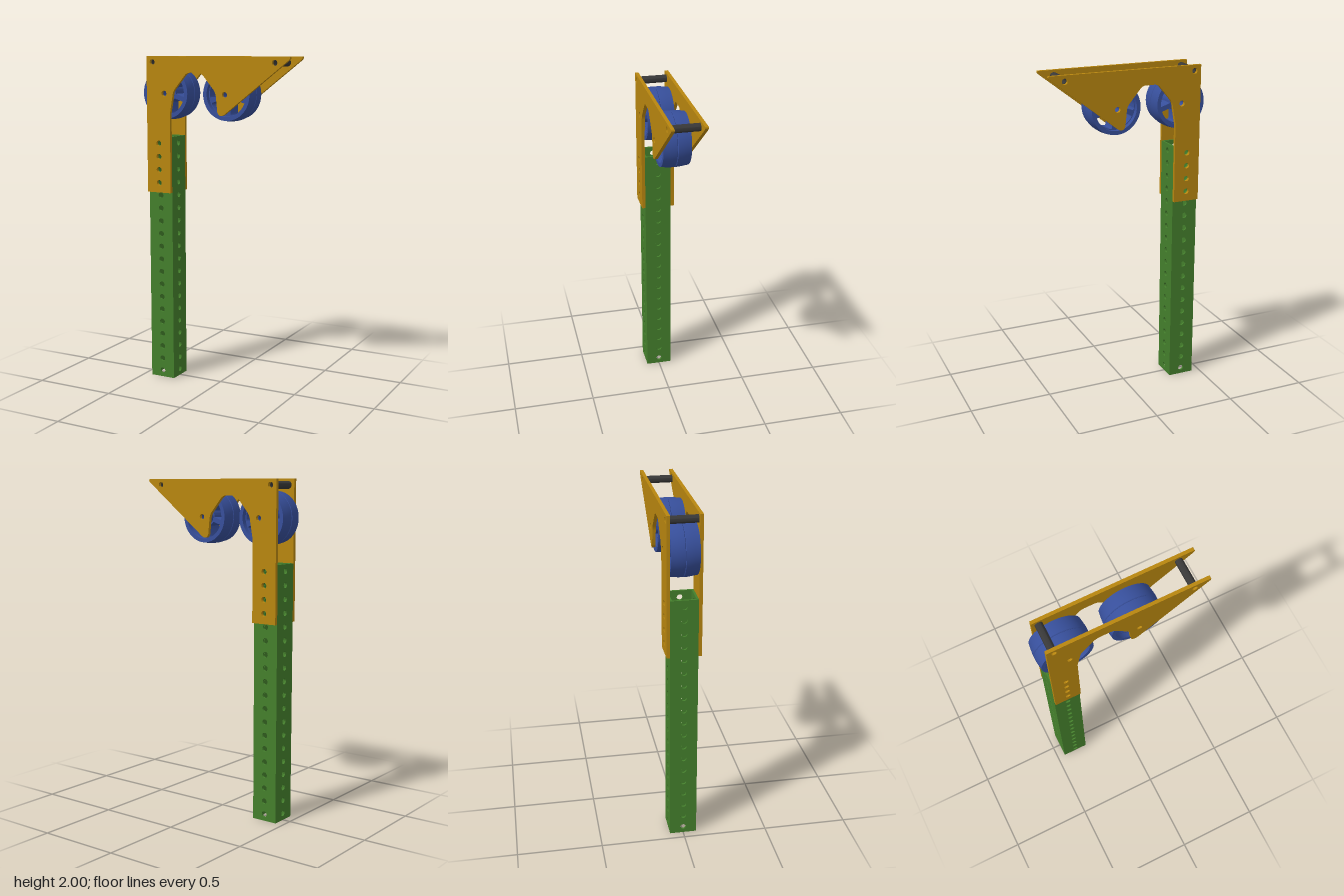
import * as THREE from 'three';
import { toCreasedNormals } from 'three/addons/utils/BufferGeometryUtils.js';

const material = (color) => new THREE.MeshStandardMaterial({ color });
const gold = material(0xb8860f);
const green = material(0x447f2c);
const blue = material(0x374f9b);
const dark = material(0x383838);

const HOLE = 0.017;
const AXLE_Y = 1.78;
const POST_X = -0.37;
const ROD_Y = 1.965;

function addMesh(parent, name, geometry, mat) {
  const mesh = new THREE.Mesh(geometry, mat);
  mesh.name = name;
  parent.add(mesh);
  return mesh;
}

function punch(shape, x, y, r = HOLE) {
  shape.holes.push(new THREE.Path().absarc(x, y, r, 0, Math.PI * 2, true));
}

// Extrusion centred on z = 0, smooth around curves and sharp at edges
function extrude(shape, depth, curveSegments = 12) {
  const g = new THREE.ExtrudeGeometry(shape, { depth, bevelEnabled: false, curveSegments });
  g.translate(0, 0, -depth / 2);
  return toCreasedNormals(g, 0.6);
}

// Revolved closed section of [radius, z] points, turned to lie along z
function revolve(points) {
  const g = new THREE.LatheGeometry(points.map(([r, z]) => new THREE.Vector2(r, z)), 64);
  g.rotateX(Math.PI / 2);
  return toCreasedNormals(g, 0.4);
}

// Hollow sleeve along z
function sleeve(outer, inner, length) {
  const h = length / 2;
  return revolve([[inner, -h], [outer, -h], [outer, h], [inner, h], [inner, -h]]);
}

// Square box-section post with a row of holes in every wall
function createPost() {
  const post = new THREE.Group();
  post.name = 'post';
  const size = 0.16, wall = 0.012, height = 1.52;
  for (let i = 0; i < 4; i++) {
    const w = (i % 2 ? size - 2 * wall : size) / 2;
    const shape = new THREE.Shape();
    shape.moveTo(-w, 0).lineTo(w, 0).lineTo(w, height).lineTo(-w, height).closePath();
    for (let n = 0; n < 19; n++) punch(shape, 0, 0.04 + n * 0.08);
    const g = extrude(shape, wall);
    g.translate(0, 0, (size - wall) / 2);
    g.rotateY(i * Math.PI / 2);
    addMesh(post, 'postWall', g, green);
  }
  post.position.x = POST_X;
  return post;
}

// Side plate: leg, arched cutout and pointed arm
function createPlateGeometry() {
  const s = new THREE.Shape();
  s.moveTo(-0.45, 1.18);
  s.lineTo(-0.29, 1.18);
  s.lineTo(-0.29, 1.66);
  s.lineTo(-0.272, 1.76);
  s.quadraticCurveTo(-0.27, 1.79, -0.255, 1.808);
  s.lineTo(-0.19, 1.885);
  s.quadraticCurveTo(-0.175, 1.905, -0.15, 1.905);
  s.lineTo(-0.1, 1.905);
  s.quadraticCurveTo(-0.075, 1.905, -0.06, 1.885);
  s.lineTo(0.005, 1.808);
  s.quadraticCurveTo(0.02, 1.79, 0.022, 1.76);
  s.lineTo(0.03, 1.68);
  s.quadraticCurveTo(0.042, 1.645, 0.075, 1.665);
  s.lineTo(0.48, 1.98);
  s.quadraticCurveTo(0.492, 1.992, 0.484, 2);
  s.lineTo(-0.45, 2);
  s.closePath();
  for (let n = 0; n < 4; n++) punch(s, POST_X, 1.24 + n * 0.08);
  for (const x of [-0.33, 0.077]) punch(s, x, AXLE_Y);
  for (const x of [-0.41, 0.393]) punch(s, x, ROD_Y);
  punch(s, POST_X, 1.2 - 0.04 + 0.4 - 0.08);
  s.holes.pop();
  return extrude(s, 0.02);
}

// Spoked wheel with a crowned tread split by a centre groove
function createWheel() {
  const wheel = new THREE.Group();
  wheel.name = 'wheel';
  addMesh(wheel, 'rim', revolve([
    [0.128, -0.08], [0.151, -0.08], [0.155, -0.05], [0.158, -0.025], [0.158, -0.003],
    [0.154, 0], [0.158, 0.003], [0.158, 0.025], [0.155, 0.05], [0.151, 0.08],
    [0.128, 0.08], [0.128, -0.08],
  ]), blue);
  addMesh(wheel, 'hub', sleeve(0.046, HOLE, 0.16), blue);

  // Spoked disc with rounded windows
  const disc = new THREE.Shape().absarc(0, 0, 0.13, 0, Math.PI * 2, false);
  punch(disc, 0, 0, 0.04);
  const count = 5, inner = 0.055, outer = 0.123;
  for (let i = 0; i < count; i++) {
    const mid = -Math.PI / 2 + (i + 0.5) * 2 * Math.PI / count;
    const a = 0.5, b = 0.36;
    const at = (r, t) => [r * Math.cos(mid + t), r * Math.sin(mid + t)];
    const win = new THREE.Path();
    win.moveTo(...at(outer, -a + 0.08));
    win.absarc(0, 0, outer, mid - a + 0.08, mid + a - 0.08, false);
    win.quadraticCurveTo(...at(outer, a), ...at(outer - 0.012, a));
    win.lineTo(...at(inner, b));
    win.absarc(0, 0, inner, mid + b, mid - b, true);
    win.lineTo(...at(outer - 0.012, -a));
    win.quadraticCurveTo(...at(outer, -a), ...at(outer, -a + 0.08));
    disc.holes.push(win);
  }
  addMesh(wheel, 'spokes', extrude(disc, 0.1, 24), blue);
  return wheel;
}

export function createModel() {
  const model = new THREE.Group();
  model.name = 'rollerArm';
  model.add(createPost());

  const plate = createPlateGeometry();
  for (const side of [1, -1]) {
    addMesh(model, side > 0 ? 'frontPlate' : 'backPlate', plate, gold).position.z = side * 0.09;
  }

  for (const x of [-0.332, 0.077]) {
    const wheel = createWheel();
    wheel.position.set(x, AXLE_Y, 0);
    model.add(wheel);
  }

  // Hollow spacer rods between the plates
  for (const x of [-0.41, 0.393]) {
    addMesh(model, 'spacerRod', sleeve(0.022, 0.015, 0.16), dark).position.set(x, ROD_Y, 0);
  }
  return model;
}
